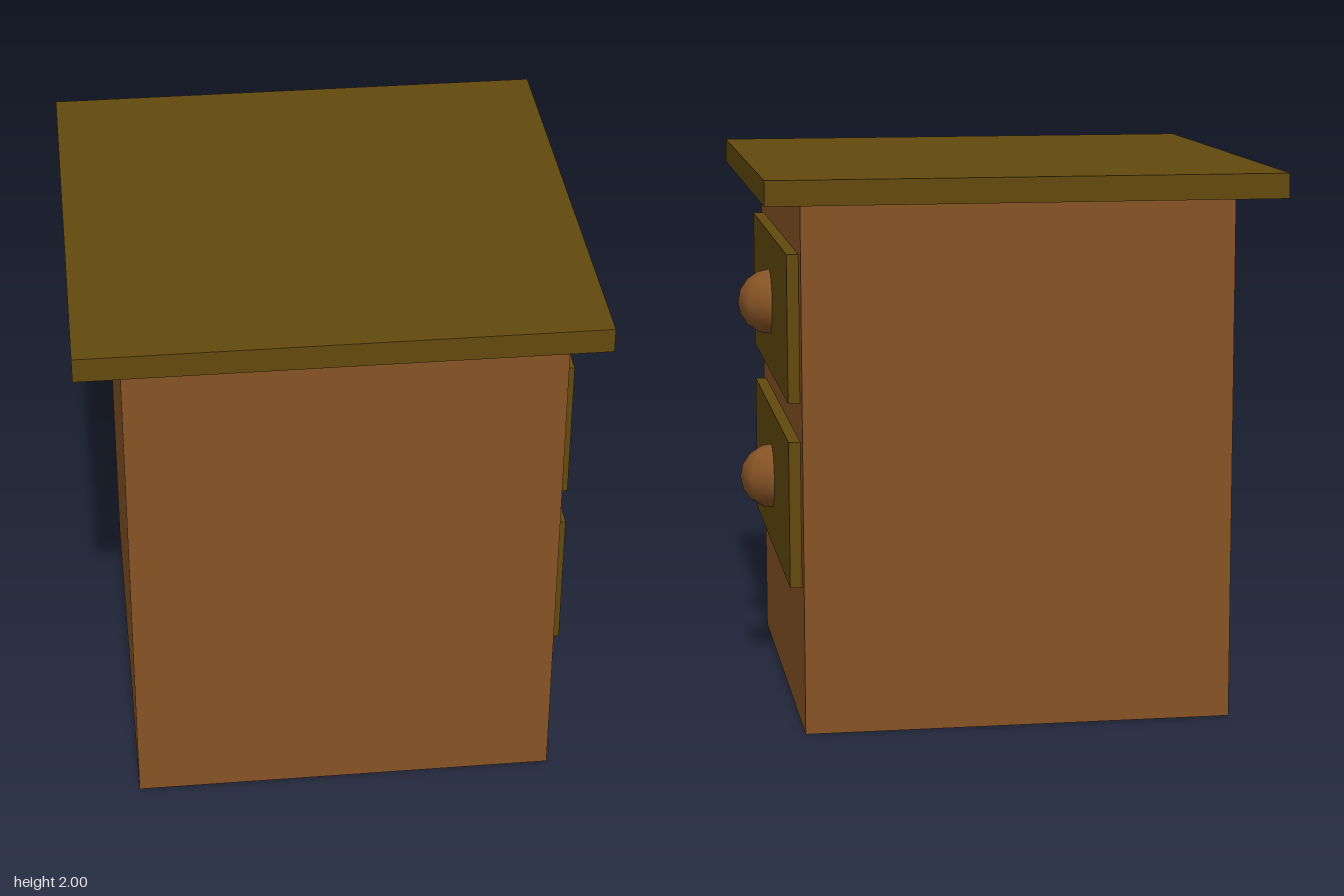
import * as THREE from 'three';

const wood = new THREE.MeshStandardMaterial({ color: 0x865324 });
wood.name = 'brownWood';
const olive = new THREE.MeshStandardMaterial({ color: 0x62490e });
olive.name = 'oliveWood';

// Box given by its lower and upper corners
function box(name, material, min, max) {
  const size = max.map((v, i) => v - min[i]);
  const mesh = new THREE.Mesh(new THREE.BoxGeometry(...size), material);
  mesh.position.set(...max.map((v, i) => (v + min[i]) / 2));
  mesh.name = name;
  return mesh;
}

export function createModel() {
  const group = new THREE.Group();
  group.name = 'nightstand';

  // Cabinet and overhanging top
  group.add(box('cabinet', wood, [-0.777, 0, -0.805], [0.778, 1.91, 0.835]));
  group.add(box('tabletop', olive, [-0.94, 1.91, -0.928], [0.912, 2, 0.93]));

  // Two drawers on the +x side, each with a round faceted knob
  const knobShape = new THREE.SphereGeometry(0.123, 8, 8);
  [['lower', 0.52], ['upper', 1.19]].forEach(([level, y]) => {
    const drawer = new THREE.Group();
    drawer.name = level + 'Drawer';
    drawer.add(box(level + 'DrawerFront', olive, [0.76, y, -0.722], [0.82, y + 0.53, 0.728]));
    const knob = new THREE.Mesh(knobShape, wood);
    knob.name = level + 'Knob';
    knob.position.set(0.816, y + 0.268, 0.013);
    drawer.add(knob);
    group.add(drawer);
  });

  return group;
}
